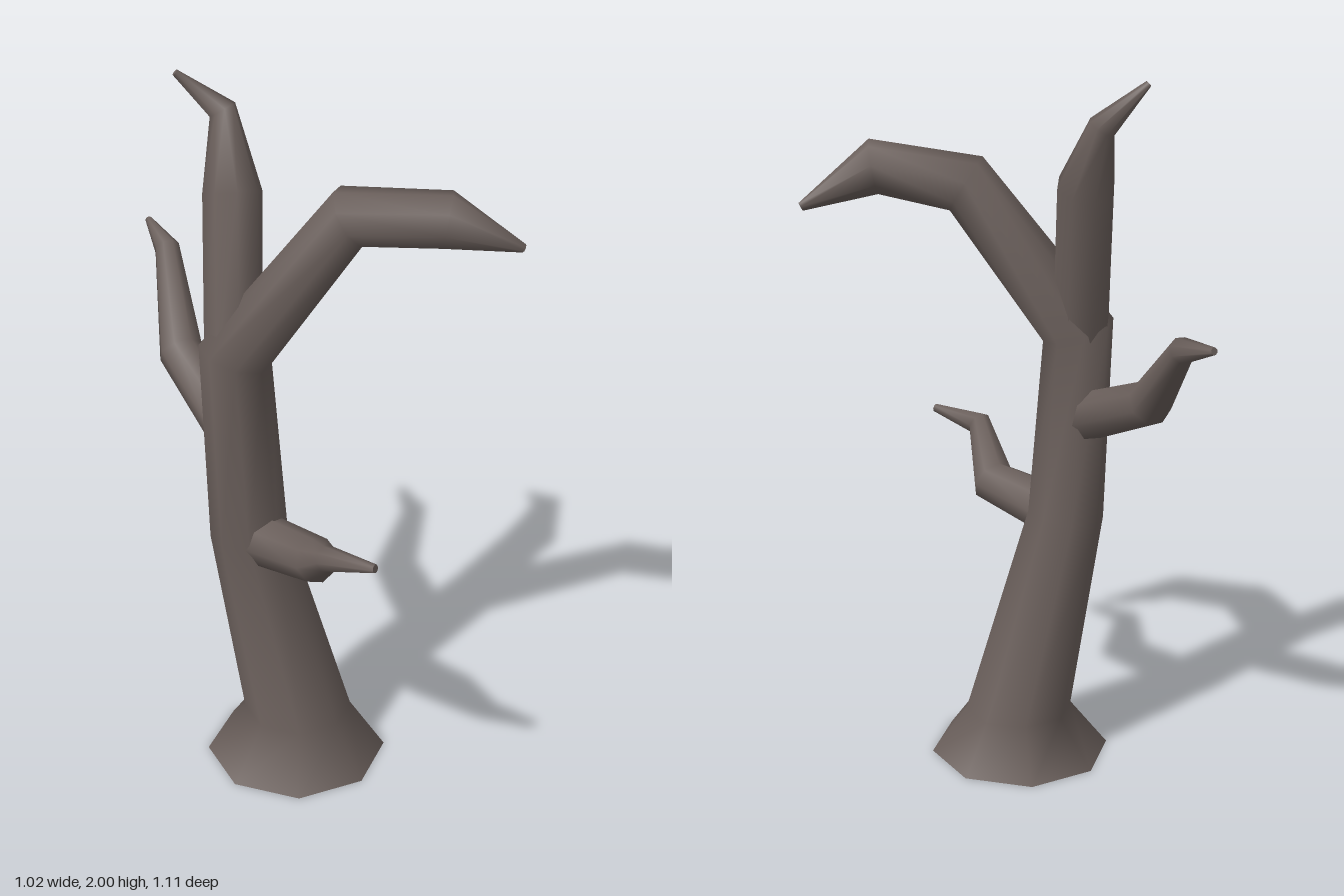
import * as THREE from 'three';

const SIDES = 8;
const bark = new THREE.MeshStandardMaterial({ color: 0x6a5f5b });
bark.name = 'bark';

// Tapered limb swept through rings [x, y, z, radius, level?]
function limb(name, rings, twist = 0) {
  const pts = rings.map((r) => new THREE.Vector3(r[0], r[1], r[2]));
  const dirs = pts.slice(1).map((p, i) => p.clone().sub(pts[i]).normalize());
  const pos = [], idx = [];
  const up = new THREE.Vector3(0, 1, 0);
  const u = new THREE.Vector3(1, 0, 0), v = new THREE.Vector3(0, 0, -1);
  const prev = up.clone();
  rings.forEach((ring, i) => {
    // each ring is square to the average of the neighbouring directions
    const n = new THREE.Vector3();
    if (ring[4]) n.copy(up);
    else {
      if (i > 0) n.add(dirs[i - 1]);
      if (i < dirs.length) n.add(dirs[i]);
      n.normalize();
    }
    const q = new THREE.Quaternion().setFromUnitVectors(prev, n);
    u.applyQuaternion(q);
    v.applyQuaternion(q);
    prev.copy(n);
    for (let k = 0; k < SIDES; k++) {
      const a = twist + (k / SIDES) * Math.PI * 2;
      const p = pts[i].clone()
        .addScaledVector(u, Math.cos(a) * ring[3])
        .addScaledVector(v, Math.sin(a) * ring[3]);
      pos.push(p.x, p.y, p.z);
    }
  });
  for (let i = 0; i < rings.length - 1; i++) {
    for (let k = 0; k < SIDES; k++) {
      const a = i * SIDES + k, b = i * SIDES + (k + 1) % SIDES;
      idx.push(a, b, b + SIDES, a, b + SIDES, a + SIDES);
    }
  }
  // flat end caps with their own vertices so the rims stay sharp
  for (const end of [0, rings.length - 1]) {
    const first = pos.length / 3;
    pos.push(...pos.slice(end * SIDES * 3, (end + 1) * SIDES * 3));
    for (let k = 1; k < SIDES - 1; k++) {
      if (end === 0) idx.push(first, first + k + 1, first + k);
      else idx.push(first, first + k, first + k + 1);
    }
  }
  const geo = new THREE.BufferGeometry();
  geo.setAttribute('position', new THREE.Float32BufferAttribute(pos, 3));
  geo.setIndex(idx);
  geo.computeVertexNormals();
  const mesh = new THREE.Mesh(geo, bark);
  mesh.name = name;
  return mesh;
}

export function createModel() {
  const tree = new THREE.Group();
  tree.name = 'bareTree';

  // Flared trunk that bends over into the drooping main bough
  tree.add(limb('trunk', [
    [-0.09, 0, 0.08, 0.256, true],
    [-0.085, 0.14, 0.07, 0.152, true],
    [-0.217, 0.73, 0.075, 0.108],
    [-0.245, 1.275, 0.07, 0.102],
    [0.06, 1.685, 0.1, 0.085],
    [0.305, 1.715, 0.195, 0.076],
    [0.505, 1.617, 0.155, 0.012],
  ], 0.03));

  // Upright branch at the fork
  tree.add(limb('upperBranch', [
    [-0.25, 1.22, 0.065, 0.08],
    [-0.247, 1.7, -0.03, 0.08],
    [-0.272, 1.885, -0.145, 0.039],
    [-0.393, 1.993, -0.132, 0.009],
  ], 0.2));

  // Side branch reaching backwards
  tree.add(limb('backBranch', [
    [-0.27, 1.04, 0.02, 0.07],
    [-0.405, 1.15, -0.2, 0.063],
    [-0.447, 1.365, -0.425, 0.036],
    [-0.505, 1.4, -0.55, 0.01],
  ]));

  // Low branch reaching forwards
  tree.add(limb('frontBranch', [
    [-0.17, 0.73, 0.13, 0.074],
    [-0.03, 0.757, 0.28, 0.064],
    [-0.005, 0.872, 0.46, 0.036],
    [0.118, 0.895, 0.548, 0.012],
  ]));

  return tree;
}
